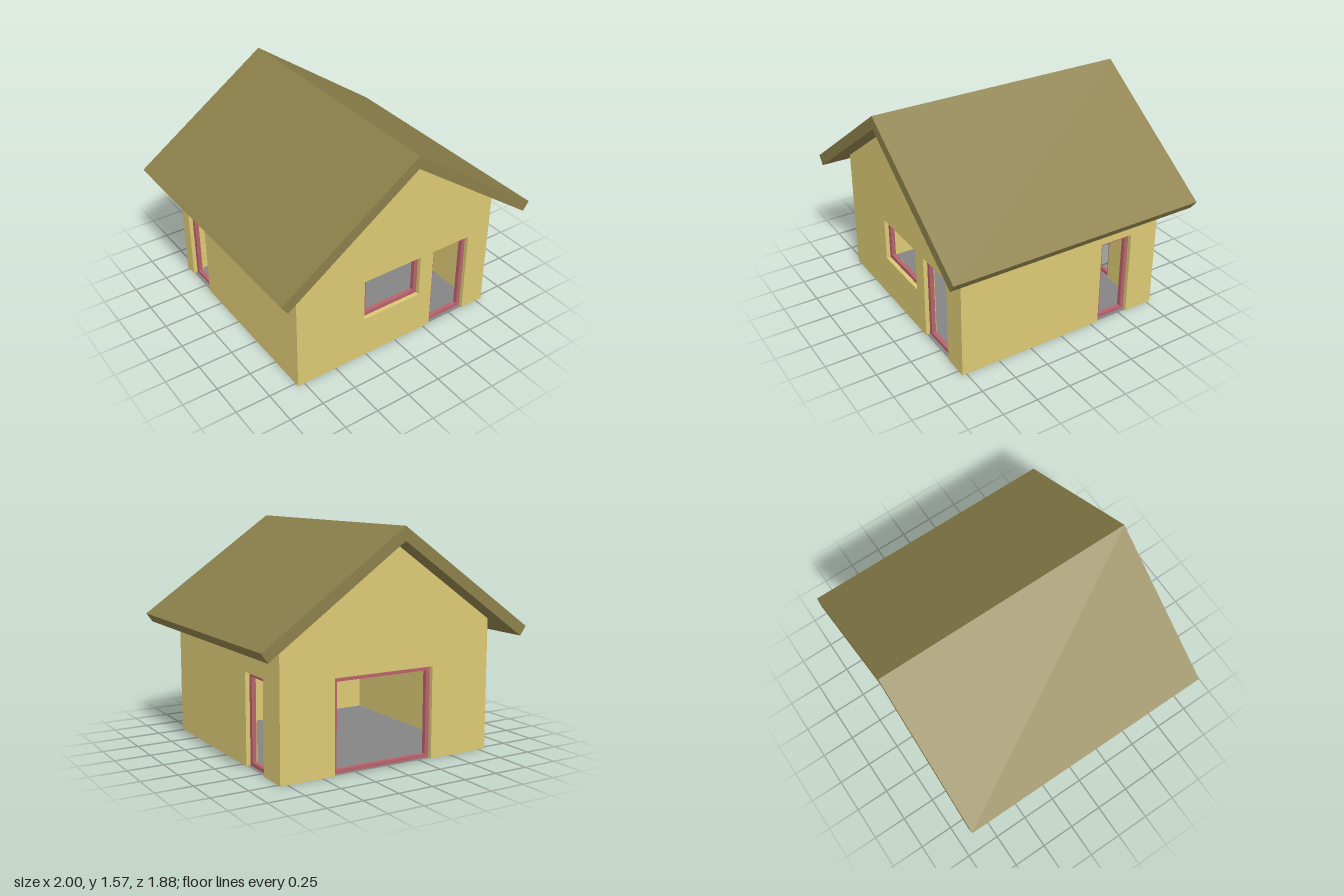
import * as THREE from 'three';

const T = 0.08;            // wall thickness
const HX = 0.8, HZ = 0.78; // half width and half depth of the walls
const EAVE = 0.915, PEAK = 1.475;

const paint = (color) => new THREE.MeshStandardMaterial({ color });
const wallMat = paint(0xdcc974);
const roofMat = paint(0x8c804a);
const frameMat = paint(0xb8636c);
const floorMat = paint(0x858585);
floorMat.side = THREE.DoubleSide;

const polygon = (pts) => new THREE.Shape(pts.map(([x, y]) => new THREE.Vector2(x, y)));

function rectPath(x0, y0, x1, y1, Type = THREE.Path) {
  return new Type([[x0, y0], [x1, y0], [x1, y1], [x0, y1]].map(([x, y]) => new THREE.Vector2(x, y)));
}

function extruded(name, shape, depth, z, material) {
  const geometry = new THREE.ExtrudeGeometry(shape, { depth, bevelEnabled: false });
  geometry.translate(0, 0, z);
  const mesh = new THREE.Mesh(geometry, material);
  mesh.name = name;
  return mesh;
}

// A wall with its openings [x0, y0, x1, y1] and a frame set into each one;
// openings that start at y = 0 are cut into the outline, others are holes
function wall(name, half, top, openings, angle, distance) {
  const outline = [[-half, 0]];
  for (const [x0, y0, x1, y1] of openings) {
    if (y0 === 0) outline.push([x0, 0], [x0, y1], [x1, y1], [x1, 0]);
  }
  outline.push([half, 0], ...top);
  const shape = polygon(outline);
  const group = new THREE.Group();
  group.name = name;
  for (const [x0, y0, x1, y1] of openings) {
    if (y0 > 0) shape.holes.push(rectPath(x0, y0, x1, y1));
    const f = 0.03;
    const ring = rectPath(x0, y0, x1, y1, THREE.Shape);
    ring.holes.push(rectPath(x0 + f, y0 + f, x1 - f, y1 - f));
    group.add(extruded(y0 > 0 ? 'windowFrame' : 'doorFrame', ring, 0.03, -0.06, frameMat));
  }
  group.add(extruded(name + 'Panel', shape, T, -T, wallMat));
  group.rotation.y = angle;
  group.position.set(Math.sin(angle) * distance, 0, Math.cos(angle) * distance);
  return group;
}

export function createModel() {
  const model = new THREE.Group();
  model.name = 'house';

  // Gable walls at front and back, straight walls at the sides
  const gable = [[HX, EAVE], [0, PEAK], [-HX, EAVE]];
  const sideHalf = HZ - T;
  const straight = [[sideHalf, EAVE], [-sideHalf, EAVE]];
  model.add(
    wall('frontWall', HX, gable, [[-0.27, 0.315, 0.195, 0.63], [0.305, 0, 0.615, 0.63]], 0, HZ),
    wall('backWall', HX, gable, [[-0.41, 0, 0.34, 0.63]], Math.PI, HZ),
    wall('leftWall', sideHalf, straight, [[0.31, 0, 0.56, 0.63]], Math.PI / 2, HX),
    wall('rightWall', sideHalf, straight, [[-0.68, 0, -0.43, 0.63]], -Math.PI / 2, HX),
  );

  // Pitched roof with overhanging eaves
  const roof = polygon([[0, PEAK], [0.955, 0.805], [1, 0.868], [0, 1.567], [-1, 0.868], [-0.955, 0.805]]);
  model.add(extruded('roof', roof, 1.875, -0.9375, roofMat));

  // Floor, reaching into the doorways
  const floor = new THREE.Mesh(new THREE.PlaneGeometry(2 * HX - 0.01, 2 * HZ - 0.01), floorMat);
  floor.name = 'floor';
  floor.rotation.x = -Math.PI / 2;
  floor.position.y = 0.003;
  model.add(floor);

  return model;
}
